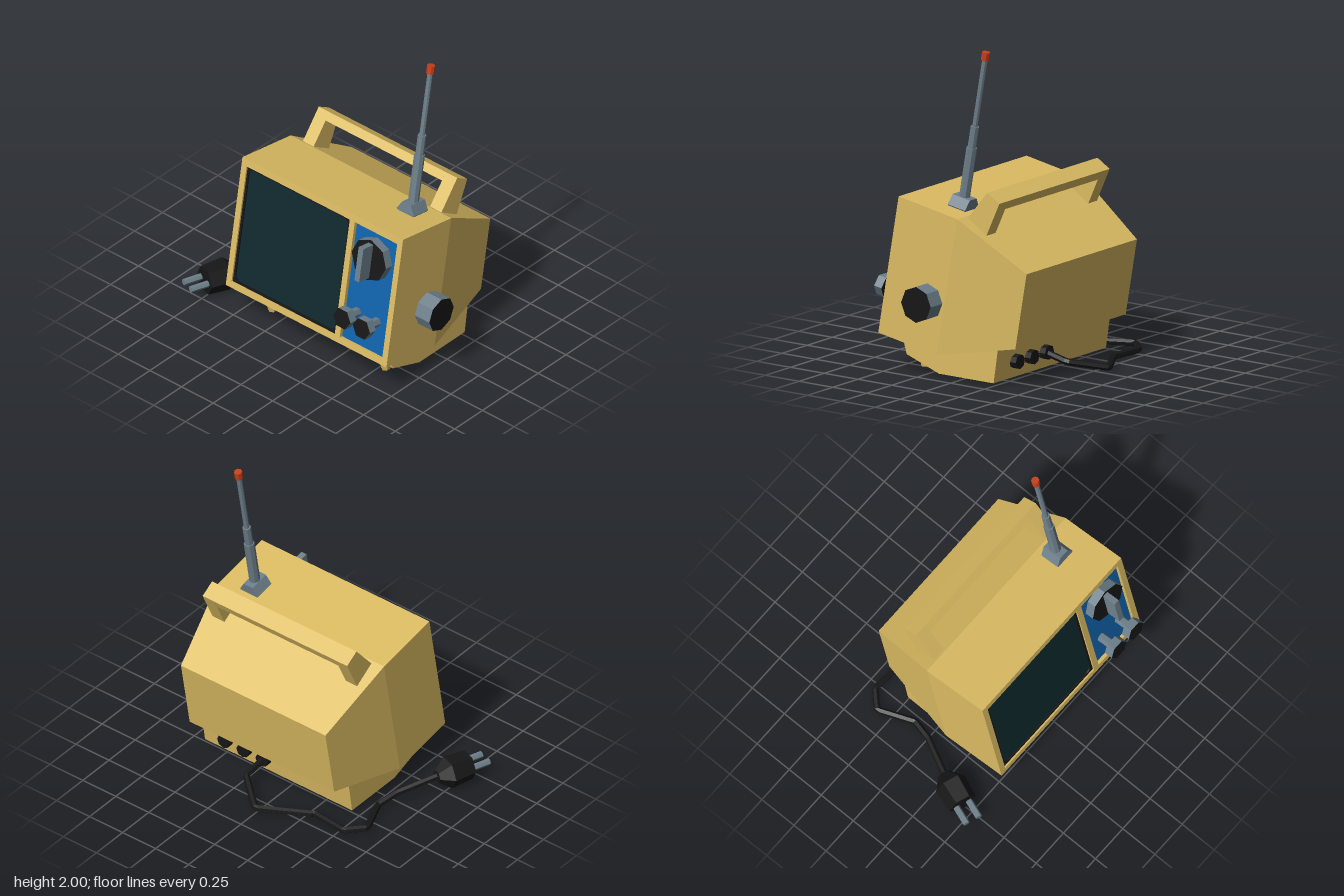
import * as THREE from 'three';

const mat = (color) => new THREE.MeshStandardMaterial({ color, flatShading: true });
const yellow = mat(0xdbbb62), blue = mat(0x0f62ab), glass = mat(0x10292d);
const black = mat(0x161616), grey = mat(0x6d7f8a), red = mat(0xc8401a);

const X0 = -0.525, X1 = 0.745, MID = (X0 + X1) / 2, H = 0.868, RECESS = 0.035;
const TILT = THREE.MathUtils.degToRad(10);

export function createModel() {
  const root = new THREE.Group();
  root.name = 'portableTelevision';

  const add = (parent, name, geo, material, x = 0, y = 0, z = 0) => {
    const m = new THREE.Mesh(geo, material);
    m.name = name;
    m.position.set(x, y, z);
    parent.add(m);
    return m;
  };
  const group = (name, x, y, z) => {
    const g = new THREE.Group();
    g.name = name;
    g.position.set(x, y, z);
    root.add(g);
    return g;
  };
  const rect = (Type, x0, y0, x1, y1) => new Type([[x0, y0], [x1, y0], [x1, y1], [x0, y1]]
    .map(([x, y]) => new THREE.Vector2(x, y)));
  const rounded = (Type, x0, y0, x1, y1, r) => {
    const p = new Type();
    p.absarc(x1 - r, y1 - r, r, 0, Math.PI / 2);
    p.absarc(x0 + r, y1 - r, r, Math.PI / 2, Math.PI);
    p.absarc(x0 + r, y0 + r, r, Math.PI, Math.PI * 1.5);
    p.absarc(x1 - r, y0 + r, r, Math.PI * 1.5, Math.PI * 2);
    p.closePath();
    return p;
  };
  const extrude = (shape, depth) =>
    new THREE.ExtrudeGeometry(shape, { depth, bevelEnabled: false, curveSegments: 4 });
  // side profile of [z, y] points, extruded from x0 to x1
  const sideExtrude = (points, x0, x1) =>
    extrude(new THREE.Shape(points.map(([z, y]) => new THREE.Vector2(-z, y))), x1 - x0)
      .rotateY(Math.PI / 2).translate(x0, 0, 0);
  // cylinder along z, starting at z = 0
  const zCylinder = (r, length, sides, turn = 0, rBack = r) =>
    new THREE.CylinderGeometry(r, rBack, length, sides).rotateY(turn)
      .rotateX(Math.PI / 2).translate(0, 0, length / 2);

  // Cabinet, leaning back; its local z = 0 plane is the front face
  const cabinet = group('cabinet', 0, 0.23, 0.54);
  cabinet.rotation.x = -TILT;
  const shell = new THREE.BoxGeometry(1, 1, 1, 1, 1, 2);
  const pos = shell.attributes.position;
  for (let i = 0; i < pos.count; i++) {
    const x = pos.getX(i), up = pos.getY(i) > 0, z = pos.getZ(i);
    if (z < -0.25) pos.setXYZ(i, MID + x * 1.095, up ? 0.662 : 0.184, -0.933);
    else pos.setXYZ(i, MID + x * (X1 - X0), up ? H : 0, z > 0.25 ? -RECESS : -0.44);
  }
  add(cabinet, 'cabinetShell', shell, yellow);

  // Front frame with openings for the screen and the control panel
  const frame = rect(THREE.Shape, X0, 0, X1, H);
  frame.holes.push(rect(THREE.Path, -0.485, 0.04, 0.33, 0.822), rect(THREE.Path, 0.37, 0.04, 0.705, 0.822));
  add(cabinet, 'frontFrame', extrude(frame, RECESS), yellow, 0, 0, -RECESS);

  const bezel = rect(THREE.Shape, -0.485, 0.04, 0.33, 0.822);
  bezel.holes.push(rounded(THREE.Path, -0.47, 0.055, 0.316, 0.808, 0.04));
  add(cabinet, 'screenBezel', extrude(bezel, 0.024), black, 0, 0, -RECESS);
  add(cabinet, 'screen', extrude(rounded(THREE.Shape, -0.475, 0.05, 0.32, 0.812, 0.04), 0.016), glass, 0, 0, -RECESS);
  add(cabinet, 'controlPanel', new THREE.BoxGeometry(0.335, 0.782, 0.012), blue, 0.5375, 0.431, -RECESS + 0.006);

  // Channel dial with grip, and two small knobs on stems
  add(cabinet, 'channelDial', zCylinder(0.135, 0.065, 8), [grey, black, black], 0.537, 0.65, -0.03);
  add(cabinet, 'dialGrip', new THREE.BoxGeometry(0.038, 0.225, 0.1), grey, 0.537, 0.649, 0.075);
  for (const x of [0.46, 0.615]) {
    add(cabinet, 'knobStem', zCylinder(0.03, 0.11, 6, Math.PI / 6), grey, x, 0.247, -0.03);
    add(cabinet, 'smallKnob', zCylinder(0.068, 0.055, 6, Math.PI / 6), [grey, black, black], x, 0.247, 0.067);
  }

  // Side knob
  add(root, 'sideKnob', new THREE.CylinderGeometry(0.11, 0.11, 0.13, 8).rotateZ(-Math.PI / 2),
    [grey, black, black], 0.795, 0.475, 0.175);

  // Base and front feet
  add(root, 'base', sideExtrude([[0.42, 0.215], [0.39, 0.105], [0.15, 0.02], [-0.255, 0.02],
    [-0.29, 0.25], [0.12, 0.2]], -0.45, 0.665), yellow);
  for (const x of [-0.34, 0.555])
    add(root, 'foot', new THREE.CylinderGeometry(0.045, 0.027, 0.085, 6), yellow, x, 0.063, 0.33);

  // Carrying handle
  const handle = group('handle', 0, 0, 0);
  const leg = [[-0.05, 0.99], [-0.2, 1.175], [-0.29, 1.12], [-0.19, 0.9]];
  for (const [a, b] of [[-0.44, -0.355], [0.565, 0.655]])
    add(handle, 'handleLeg', sideExtrude(leg, a, b), yellow);
  add(handle, 'handleBar', sideExtrude([[-0.2, 1.175], [-0.165, 1.132], [-0.265, 1.067], [-0.29, 1.12]],
    -0.355, 0.565), yellow);

  // Telescopic antenna
  const antenna = group('antenna', 0.535, 1.035, 0.067);
  antenna.rotation.x = -TILT;
  add(antenna, 'antennaBase', zCylinder(0.068, 0.13, 6, Math.PI / 6), grey, 0, 0, -0.065);
  for (const [name, r, y0, y1, m] of [['lowerTube', 0.033, 0, 0.37, grey], ['middleTube', 0.026, 0.37, 0.505, grey],
    ['upperTube', 0.017, 0.505, 0.93, grey], ['antennaTip', 0.025, 0.925, 0.977, red]])
    add(antenna, name, new THREE.CylinderGeometry(r, r, y1 - y0, 8), m, 0, (y0 + y1) / 2, 0);

  // Rear sockets and power cable
  for (const x of [0.19, 0.335, 0.48])
    add(root, 'socket', zCylinder(0.045, 0.06, 8), black, x, 0.125, -0.315);
  const path = [[0.19, 0.125, -0.28], [0.2, 0.09, -0.45], [0, 0.04, -0.615], [-0.3, 0.021, -0.42],
    [-0.53, 0.021, -0.44], [-0.63, 0.025, -0.34], [-0.54, 0.025, -0.12], [-0.575, 0.05, 0.01], [-0.71, 0.095, 0.27]]
    .map((p) => new THREE.Vector3(...p));
  const cable = new THREE.CatmullRomCurve3(path, false, 'catmullrom', 0);
  add(root, 'powerCable', new THREE.TubeGeometry(cable, 90, 0.021, 6), black);

  // Plug with two prongs
  const plug = group('plug', -0.7, 0.095, 0.24);
  plug.rotation.y = -0.34;
  const plugProfile = [[0, 0], [0.04, 0], [0.1, 0.075], [0.09, 0.22], [0, 0.22]].map(([r, y]) => new THREE.Vector2(r, y));
  add(plug, 'plugBody', new THREE.LatheGeometry(plugProfile, 6, Math.PI / 6).rotateX(Math.PI / 2), black);
  for (const x of [-0.042, 0.042])
    add(plug, 'prong', zCylinder(0.021, 0.13, 6, Math.PI / 6), grey, x, 0, 0.21);

  return root;
}
